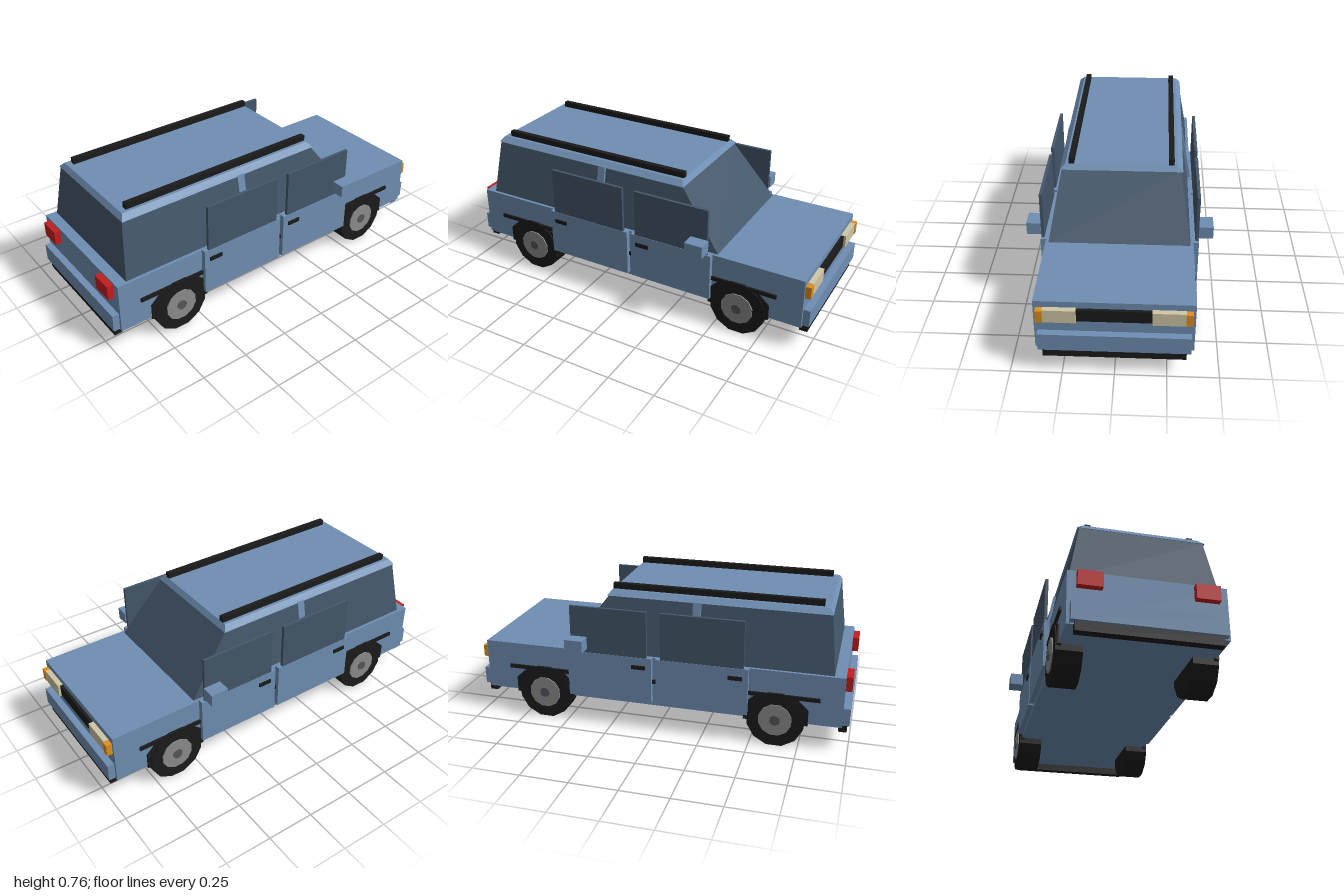
import * as THREE from 'three';

const mat = (color) => new THREE.MeshStandardMaterial({ color, flatShading: true });
const paint = mat(0x6f8fb3);
const glass = mat(0x44576a);
const black = mat(0x1b1b1b);
const red = mat(0xc41e1e);
const cream = mat(0xcfc7a6);
const amber = mat(0xe0901e);
const rim = mat(0x8c8c8c);
const cap = mat(0x55585c);

export function createModel() {
  const car = new THREE.Group();
  car.name = 'car';

  const add = (name, geometry, material) => {
    const mesh = new THREE.Mesh(geometry, material);
    mesh.name = name;
    car.add(mesh);
    return mesh;
  };

  // Box given by its limits on each axis
  const box = (name, material, [x0, x1], [y0, y1], [z0, z1]) => {
    const g = new THREE.BoxGeometry(Math.abs(x1 - x0), y1 - y0, z1 - z0);
    g.translate((x0 + x1) / 2, (y0 + y1) / 2, (z0 + z1) / 2);
    return add(name, g, material);
  };

  // Box whose top face has its own limits: bottom and top are [x0, x1, z0, z1]
  const taper = (name, material, [y0, y1], bottom, top) => {
    const g = new THREE.BoxGeometry(1, 1, 1);
    const p = g.attributes.position;
    for (let i = 0; i < p.count; i++) {
      const up = p.getY(i) > 0;
      const [x0, x1, z0, z1] = up ? top : bottom;
      p.setXYZ(i, p.getX(i) > 0 ? x1 : x0, up ? y1 : y0, p.getZ(i) > 0 ? z1 : z0);
    }
    g.computeVertexNormals();
    return add(name, g, material);
  };

  // Body shell, glasshouse and roof; the nose points to -z
  box('body', paint, [-0.375, 0.375], [0.14, 0.41], [-0.965, 0.965]);
  taper('glasshouse', glass, [0.405, 0.71],
    [-0.36, 0.36, -0.505, 0.91], [-0.305, 0.305, -0.27, 0.875]);
  taper('roof', paint, [0.708, 0.735],
    [-0.315, 0.315, -0.28, 0.878], [-0.287, 0.287, -0.26, 0.86]);

  // Bumpers and their lower black strips
  for (const [end, s] of [['rear', 1], ['front', -1]]) {
    const span = (a, b) => [Math.min(s * a, s * b), Math.max(s * a, s * b)];
    box(end + 'Bumper', paint, [-0.36, 0.36], [0.147, 0.24], span(0.96, 1));
    box(end + 'BumperStrip', black, [-0.34, 0.34], [0.1, 0.146], span(0.945, 0.988));
  }
  box('grille', black, [-0.18, 0.18], [0.31, 0.375], [-0.98, -0.96]);

  // Wheel arch outline, centred on the wheel in z
  const arch = new THREE.Shape([
    [-0.165, 0.13], [0.165, 0.13], [0.165, 0.215], [0.1, 0.275], [-0.1, 0.275], [-0.165, 0.215],
  ].map(([z, y]) => new THREE.Vector2(z, y)));

  for (const [side, s] of [['left', 1], ['right', -1]]) {
    const x = (a, b) => [Math.min(s * a, s * b), Math.max(s * a, s * b)];

    // Roof rail, centre pillar and side moulding
    box(side + 'RoofRail', black, x(0.242, 0.27), [0.735, 0.765], [-0.26, 0.83]);
    taper(side + 'Pillar', paint, [0.41, 0.712],
      [...x(0.3, 0.375), 0.18, 0.222], [...x(0.25, 0.318), 0.18, 0.222]);
    box(side + 'Moulding', black, x(0.37, 0.386), [0.268, 0.288], [-0.83, 0.85]);

    // Doors with upright window panes and handles
    const doors = [
      ['FrontDoor', [-0.48, -0.02], [-0.46, -0.045], [-0.125, -0.053]],
      ['RearDoor', [0.003, 0.488], [0.028, 0.463], [0.385, 0.458]],
    ];
    for (const [door, panel, pane, handle] of doors) {
      box(side + door, paint, x(0.37, 0.402), [0.16, 0.413], panel);
      box(side + door + 'Window', glass, x(0.384, 0.4), [0.41, 0.665], pane);
      box(side + door + 'Handle', black, x(0.398, 0.41), [0.35, 0.37], handle);
    }
    box(side + 'Mirror', paint, x(0.4, 0.472), [0.434, 0.5], [-0.467, -0.37]);

    // Lights
    box(side + 'TailLight', red, x(0.215, 0.332), [0.323, 0.4], [0.96, 0.998]);
    box(side + 'Headlight', cream, x(0.175, 0.33), [0.308, 0.378], [-0.992, -0.96]);
    box(side + 'Indicator', amber, x(0.33, 0.363), [0.31, 0.375], [-0.995, -0.96]);

    // Wheels and arches
    for (const [axle, z] of [['Front', -0.63], ['Rear', 0.63]]) {
      const disc = (name, material, r, x0, x1) => {
        const g = new THREE.CylinderGeometry(r, r, x1 - x0, 12);
        g.rotateY(Math.PI / 12).rotateZ(Math.PI / 2);
        add(side + axle + name, g, material).position.set(s * (x0 + x1) / 2, 0.147, z);
      };
      disc('Tyre', black, 0.15, 0.26, 0.388);
      disc('Rim', rim, 0.087, 0.37, 0.394);
      disc('HubCap', cap, 0.027, 0.38, 0.399);

      const g = new THREE.ExtrudeGeometry(arch, { depth: 0.02, bevelEnabled: false });
      g.rotateY(Math.PI / 2).translate(s * 0.373 - 0.01, 0, z);
      add(side + axle + 'Arch', g, black);
    }
  }
  return car;
}
